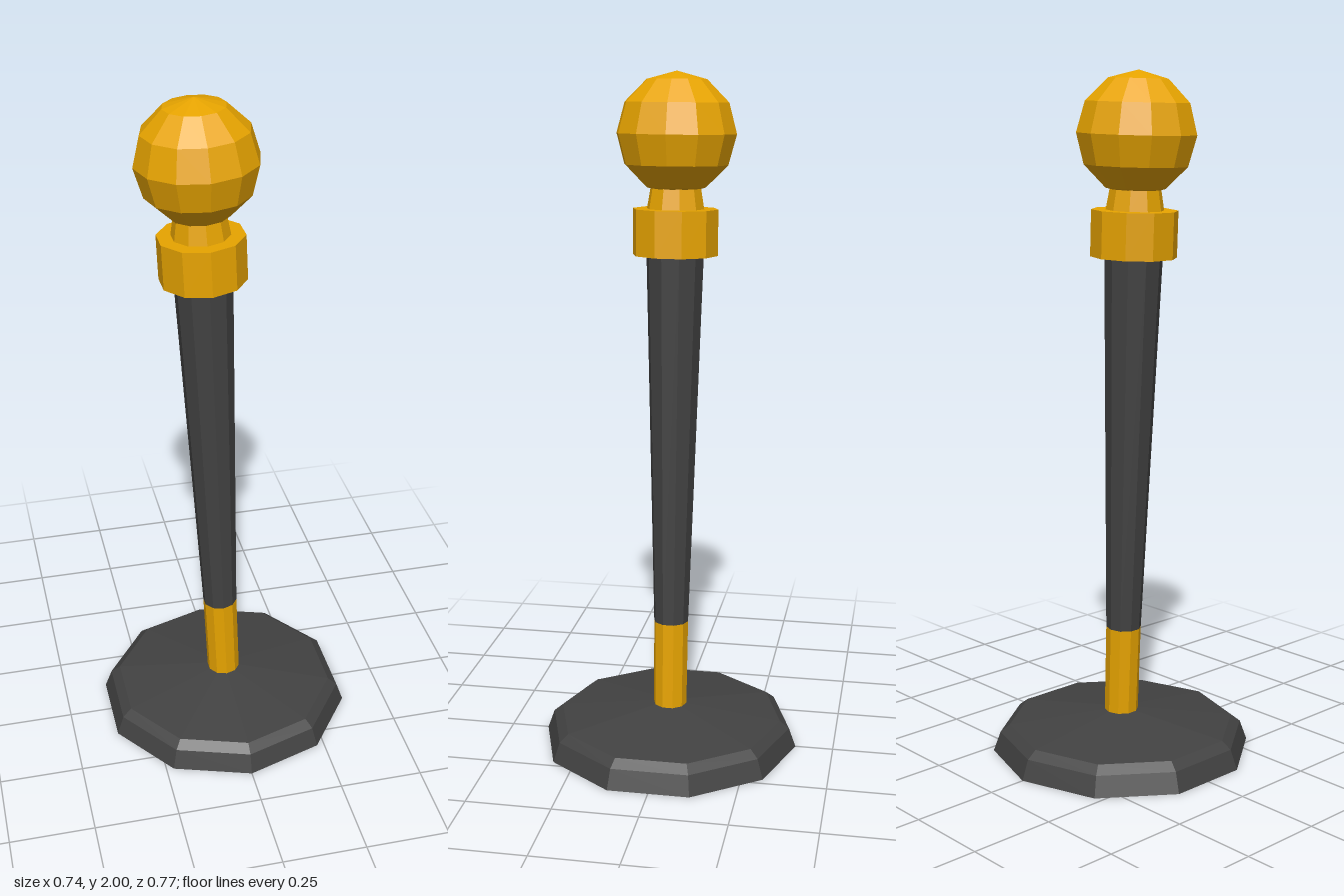
import * as THREE from 'three';

export function createModel() {
  const model = new THREE.Group();
  model.name = 'barrierPost';
  const paint = (name, color) => new THREE.MeshStandardMaterial({ name, color, flatShading: true });
  const gold = paint('gold', 0xeea900);
  const charcoal = paint('charcoal', 0x424242);
  const paleGrey = paint('paleGrey', 0xe0e0e0);
  const stone = paint('stone', 0x9c9c94);
  const slateBlue = paint('slateBlue', 0x7c7ca8);
  const olive = paint('olive', 0x687044);

  const SIDES = 10;
  const add = (parent, name, geometry, material, y = 0) => {
    const mesh = new THREE.Mesh(geometry, material);
    mesh.name = name;
    mesh.position.y = y;
    parent.add(mesh);
  };

  // Weighted foot: bevelled rim and a shallow cone on top
  const footProfile = [[0.387, 0], [0.366, 0.058], [0.338, 0.08], [0.05, 0.117], [0, 0.117]]
    .map(([r, y]) => new THREE.Vector2(r, y));
  add(model, 'foot', new THREE.LatheGeometry(footProfile, SIDES), charcoal);

  // Underside: pale plate, with a mottled half towards +x (flat shapes turned to face down)
  const faceDown = (geometry) => geometry.rotateX(Math.PI / 2);
  add(model, 'underside', faceDown(new THREE.CircleGeometry(0.387, SIDES, Math.PI / 2)), paleGrey, 0.006);
  const half = [[-0.03, 0.377], [0, 0.387], [0.227, 0.313], [0.368, 0.12], [0.368, -0.12], [0.227, -0.313], [0.11, -0.351]]
    .map(([x, z]) => new THREE.Vector2(x, z));
  add(model, 'mottledHalf', faceDown(new THREE.ShapeGeometry(new THREE.Shape(half))), stone, 0.003);

  // Mottling patches: material, x, z, half width, half depth
  const patches = [
    [slateBlue, 0.285, -0.045, 0.05, 0.065], [slateBlue, 0.105, -0.09, 0.035, 0.06],
    [slateBlue, 0.27, 0.165, 0.04, 0.04], [slateBlue, 0.085, 0.15, 0.045, 0.04],
    [slateBlue, 0.155, -0.215, 0.03, 0.035],
    [charcoal, 0.19, -0.28, 0.04, 0.03], [charcoal, 0.22, -0.15, 0.04, 0.035],
    [charcoal, 0.24, 0.075, 0.06, 0.035], [charcoal, 0.06, 0.325, 0.05, 0.03],
    [charcoal, 0.165, 0.175, 0.03, 0.04], [charcoal, 0.175, -0.01, 0.035, 0.03],
    [olive, 0.2, 0.25, 0.045, 0.04], [olive, 0.1, 0.045, 0.035, 0.035],
    [olive, 0.115, 0.255, 0.03, 0.04],
    [gold, 0.045, 0.255, 0.035, 0.03],
  ];
  patches.forEach(([material, x, z, w, d], i) => {
    const shape = new THREE.CircleGeometry(1, 5 + (i % 3), i).scale(w, d, 1).translate(x, z, 0);
    add(model, 'mottlePatch', faceDown(shape), material);
  });

  // The whole post leans slightly to one side
  const post = new THREE.Group();
  post.name = 'post';
  post.position.y = 0.11;
  post.rotation.set(-0.003, 0, 0.0407);
  model.add(post);

  // Tapered section between two heights along the post
  const section = (name, material, y0, y1, r0, r1) =>
    add(post, name, new THREE.CylinderGeometry(r1, r0, y1 - y0, SIDES), material, (y0 + y1) / 2);

  section('lowerSleeve', gold, -0.02, 0.27, 0.05, 0.052);
  section('shaft', charcoal, 0.27, 1.39, 0.052, 0.084);
  section('collar', gold, 1.375, 1.507, 0.124, 0.124);
  section('neck', gold, 1.507, 1.59, 0.083, 0.069);

  // Ball finial
  add(post, 'ballFinial', new THREE.SphereGeometry(0.173, 12, 6), gold, 1.718);

  return model;
}
